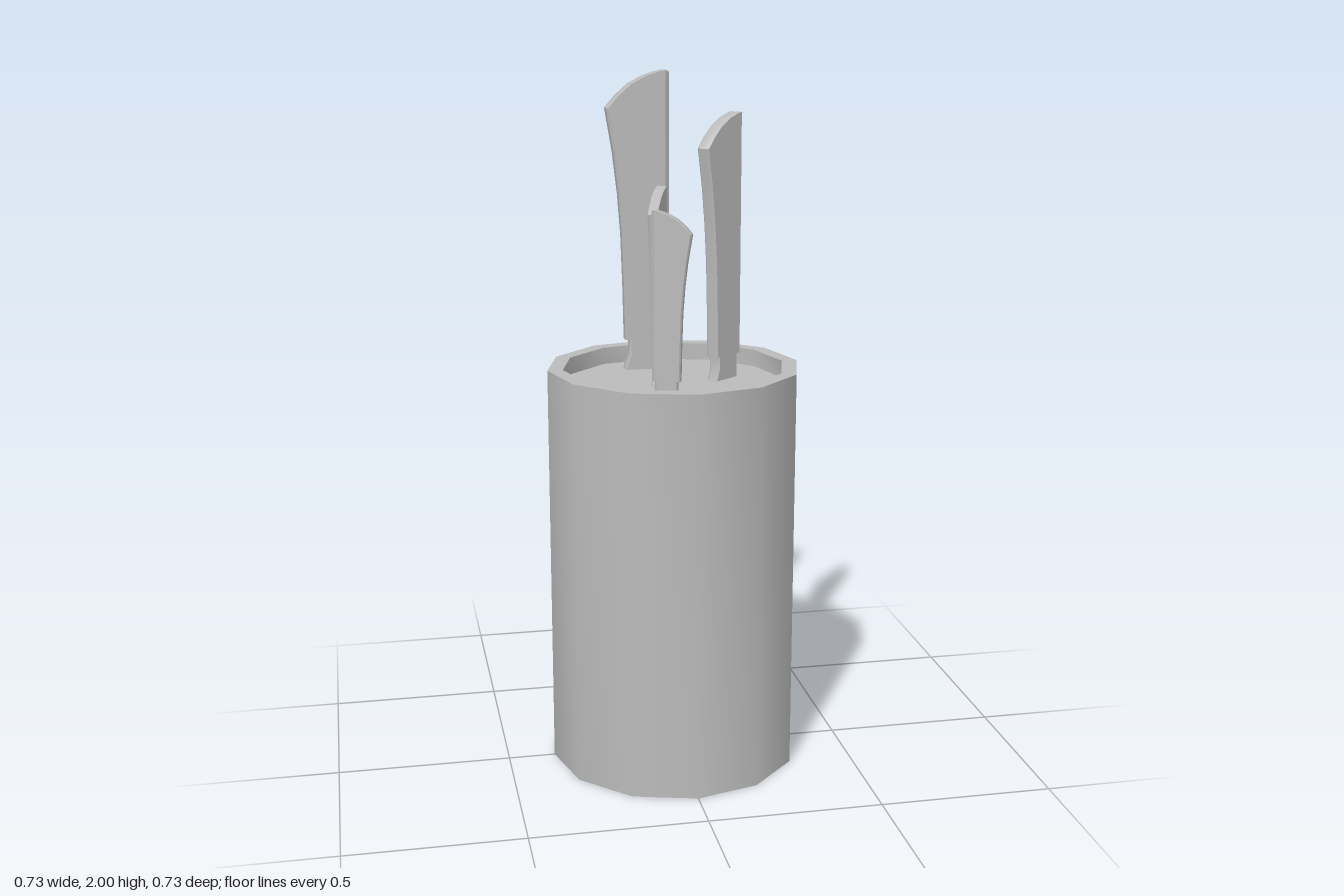
import * as THREE from 'three';
import { toCreasedNormals } from 'three/addons/utils/BufferGeometryUtils.js';

// Skin a stack of chamfered sections [y, cutting edge x, spine x, half thickness]
function loft(sections) {
  const pos = [], idx = [], n = 8;
  for (const [y, l, r, t] of sections) {
    const cr = Math.min(0.013, (r - l) * 0.3), cl = Math.min(0.006, (r - l) * 0.2);
    const ring = [
      [r, t - 0.011], [r, 0.011 - t], [r - cr, -t], [l + cl, -t],
      [l, 0.007 - t], [l, t - 0.007], [l + cl, t], [r - cr, t],
    ];
    for (const [x, z] of ring) pos.push(x, y, z);
  }
  const last = (sections.length - 1) * n;
  for (let s = 0; s < last; s += n) {
    for (let j = 0; j < n; j++) {
      const a = s + j, b = s + (j + 1) % n;
      idx.push(a, b, b + n, a, b + n, a + n);
    }
  }
  for (let j = 1; j < n - 1; j++) {
    idx.push(0, j + 1, j, last, last + j, last + j + 1);
  }
  const g = new THREE.BufferGeometry();
  g.setAttribute('position', new THREE.Float32BufferAttribute(pos, 3));
  g.setIndex(idx);
  return toCreasedNormals(g, 0.6);
}

export function createModel() {
  const model = new THREE.Group();
  model.name = 'knifeBlock';
  const grey = new THREE.MeshStandardMaterial({ color: 0xbbbbbb });
  grey.name = 'grey';

  // Twelve-sided holder with a recessed top
  const profile = [[0, 0], [0.364, 0], [0.364, 1.18], [0.32, 1.18], [0.32, 1.13], [0, 1.13]]
    .map(([x, y]) => new THREE.Vector2(x, y));
  const holder = new THREE.Mesh(toCreasedNormals(new THREE.LatheGeometry(profile, 12), 0.7), grey);
  holder.name = 'holder';
  model.add(holder);

  // Handle: straight spine, curved grip, swept rounded end
  const T = 0.0225;
  const handleGeo = loft([
    [0.09, -0.133, 0, T], [0.25, -0.136, 0, T], [0.4, -0.141, 0, T], [0.52, -0.15, 0, T],
    [0.64, -0.164, 0, T], [0.765, -0.185, 0, T], [0.8, -0.155, 0, T], [0.832, -0.118, 0, T],
    [0.854, -0.077, 0, T], [0.866, -0.042, -0.001, T], [0.87, -0.018, -0.006, T],
  ]);
  // Bolster: slimmer neck flaring at the heel
  const bolsterGeo = loft([
    [-0.02, -0.138, -0.012, 0.02], [0.015, -0.132, -0.012, 0.02],
    [0.045, -0.12, -0.012, 0.02], [0.09, -0.12, -0.012, 0.02],
  ]);

  // name, spine x and z, direction from cutting edge to spine, scale, base height
  const knives = [
    ['largeKnife', 0.025, -0.205, 1, 0, 1, 1.13],
    ['mediumKnife', 0.201, -0.069, 0.132, -0.107, 0.885, 1.12],
    ['smallKnife', -0.025, -0.033, 0.05, -0.108, 0.644, 1.13],
    ['paringKnife', -0.097, 0.19, -0.107, -0.042, 0.6, 1.13],
  ];
  for (const [name, x, z, dx, dz, scale, base] of knives) {
    const knife = new THREE.Group();
    knife.name = name;
    const handle = new THREE.Mesh(handleGeo, grey);
    handle.name = 'handle';
    const bolster = new THREE.Mesh(bolsterGeo, grey);
    bolster.name = 'bolster';
    knife.add(handle, bolster);
    knife.position.set(x, base, z);
    knife.rotation.y = Math.atan2(-dz, dx);
    knife.scale.setScalar(scale);
    model.add(knife);
  }
  return model;
}
